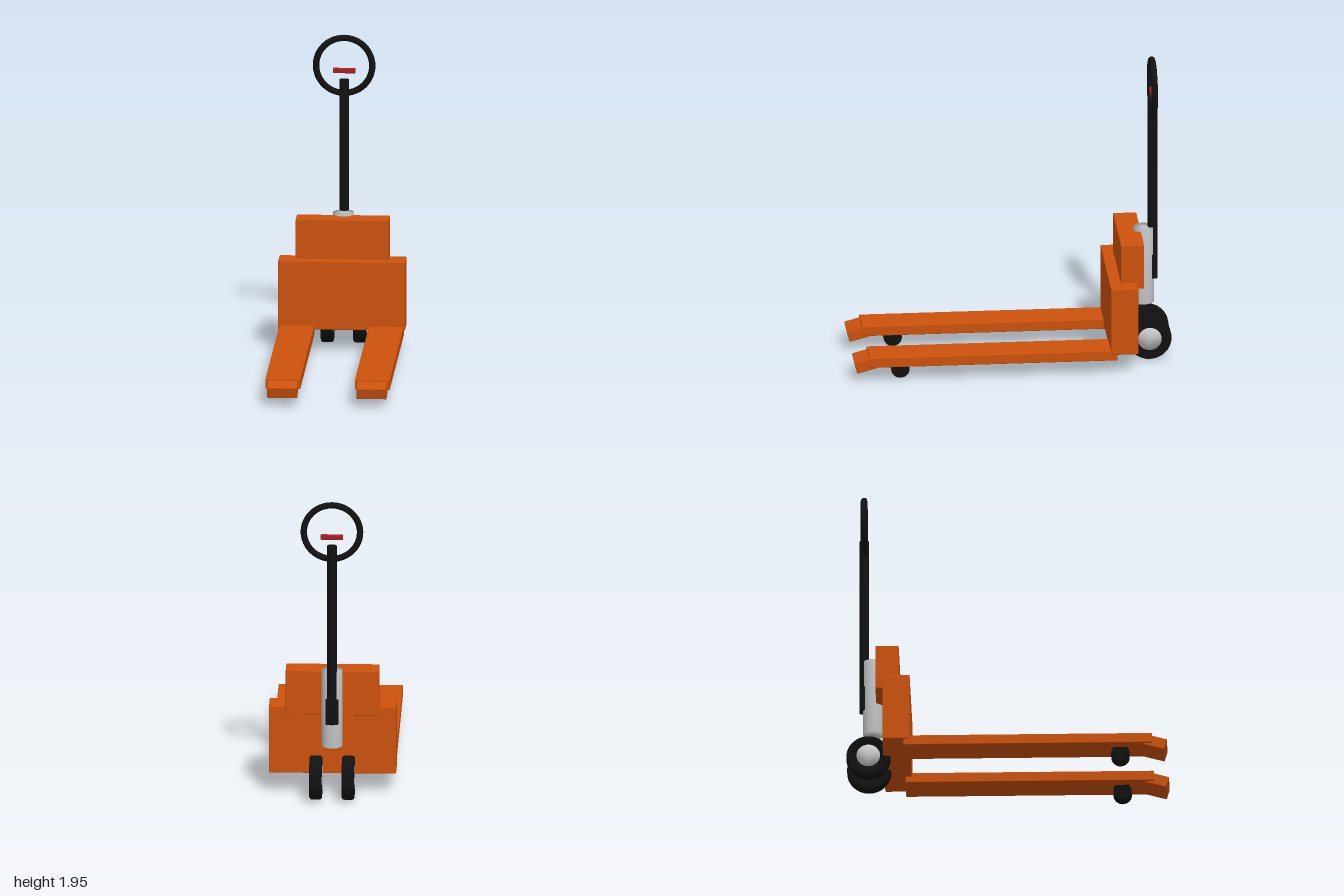
import * as THREE from 'three';
import { RoundedBoxGeometry } from 'three/addons/geometries/RoundedBoxGeometry.js';
import { mergeVertices } from 'three/addons/utils/BufferGeometryUtils.js';

const material = (name, color) => {
  const m = new THREE.MeshStandardMaterial({ color });
  m.name = name;
  return m;
};

// Cylinder whose normals blend softly over the rims
function softCylinder(radius, length) {
  const g = new THREE.CylinderGeometry(radius, radius, length, 32);
  g.deleteAttribute('normal');
  g.deleteAttribute('uv');
  const merged = mergeVertices(g, 1e-4);
  merged.computeVertexNormals();
  return merged;
}

export function createModel() {
  const group = new THREE.Group();
  group.name = 'palletTruck';
  const orange = material('orange paint', 0xcc520d);
  const black = material('black rubber', 0x111111);
  const silver = material('silver metal', 0xc4c6c8);
  const red = material('red lever', 0xa81e22);

  const add = (name, geometry, mat, x, y, z) => {
    const mesh = new THREE.Mesh(geometry, mat);
    mesh.name = name;
    mesh.position.set(x, y, z);
    group.add(mesh);
    return mesh;
  };
  const box = (w, h, d) => new RoundedBoxGeometry(w, h, d, 1, 0.005);

  // Body
  add('lowerBody', box(0.79, 0.435, 0.17), orange, 0, 0.3525, -0.685);
  add('upperBody', box(0.58, 0.29, 0.145), orange, 0, 0.675, -0.743);

  // Hydraulic column and steering shaft
  add('hydraulicColumn', softCylinder(0.065, 0.495), silver, 0, 0.5875, -0.835);
  add('steeringShaft', new THREE.CylinderGeometry(0.03, 0.03, 1.165, 24), black, 0, 1.0825, -0.892);
  add('shaftBracket', box(0.08, 0.16, 0.06), black, 0, 0.58, -0.891);

  // Handle ring with its lever
  add('handleRing', new THREE.TorusGeometry(0.175, 0.02, 12, 48), black, 0, 1.755, -0.891);
  add('releaseLever', box(0.14, 0.03, 0.03), red, 0, 1.722, -0.891);

  for (const [side, s] of [['left', 1], ['right', -1]]) {
    // Fork and sloping tip
    add(side + 'Fork', box(0.217, 0.065, 1.545), orange, s * 0.278, 0.1275, 0.1325);
    const tip = add(side + 'ForkTip', box(0.187, 0.072, 0.14), orange, s * 0.278, 0.106, 0.922);
    tip.rotation.x = 0.27;

    // Load roller near the tip
    const roller = add(side + 'LoadRoller', new THREE.CylinderGeometry(0.057, 0.057, 0.083, 24), black, s * 0.278, 0.057, 0.707);
    roller.rotation.z = Math.PI / 2;

    // Steering wheel: chamfered tyre around a metal hub
    const profile = [[0.072, -0.039], [0.125, -0.039], [0.134, -0.034], [0.137, -0.025],
      [0.137, 0.025], [0.134, 0.034], [0.125, 0.039], [0.072, 0.039], [0.072, -0.039]]
      .map(([r, y]) => new THREE.Vector2(r, y));
    const tyre = add(side + 'Tyre', new THREE.LatheGeometry(profile, 40), black, s * 0.101, 0.138, -0.863);
    const hub = add(side + 'Hub', softCylinder(0.074, 0.08), silver, s * 0.101, 0.138, -0.863);
    tyre.rotation.z = hub.rotation.z = Math.PI / 2;
  }
  return group;
}
